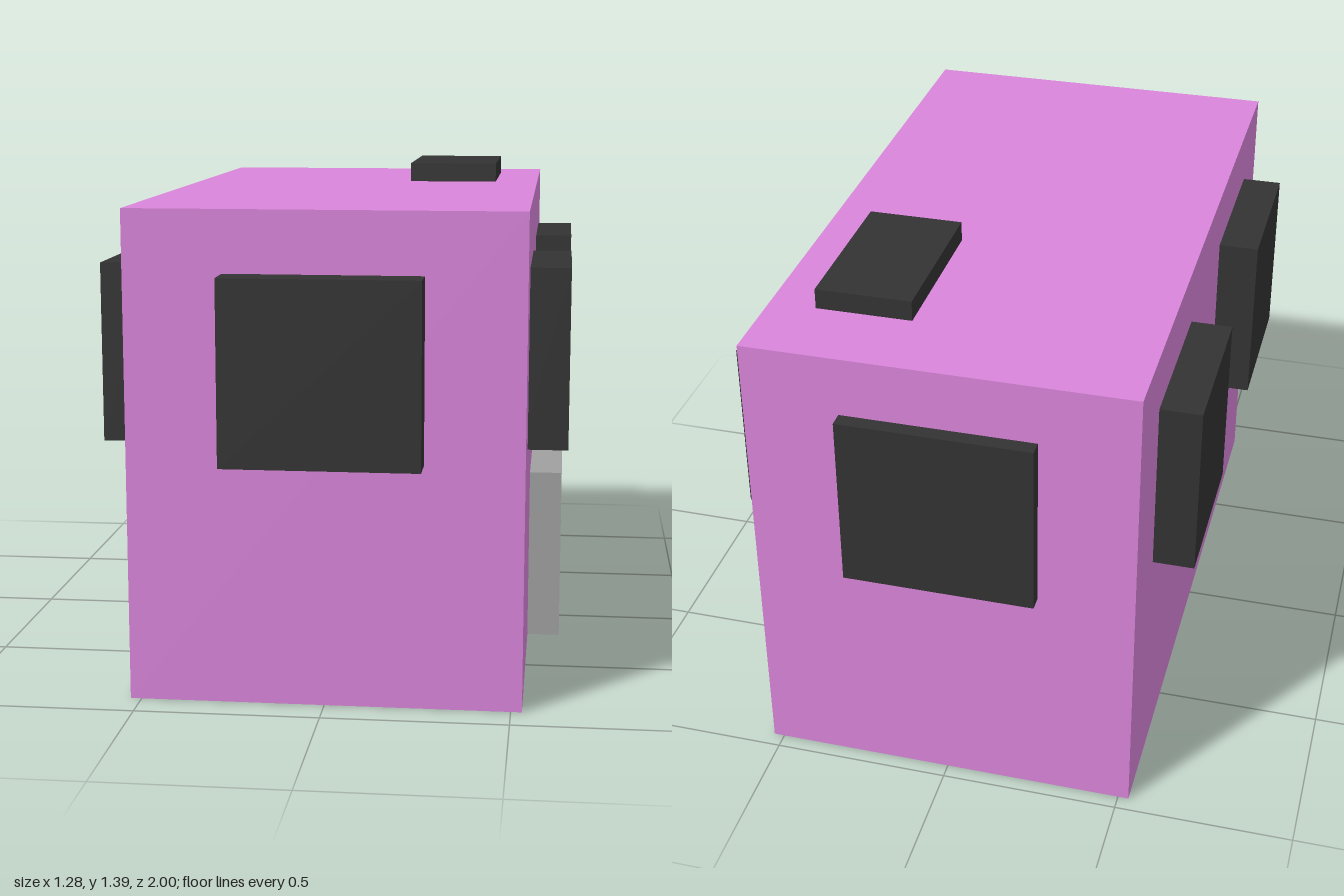
import * as THREE from 'three';

const pink = new THREE.MeshStandardMaterial({ color: 0xda85da });
const dark = new THREE.MeshStandardMaterial({ color: 0x333333 });
const grey = new THREE.MeshStandardMaterial({ color: 0xa0a0a0 });

// Box given by its extents along each axis
function block(name, material, [x0, x1], [y0, y1], [z0, z1]) {
  const mesh = new THREE.Mesh(new THREE.BoxGeometry(x1 - x0, y1 - y0, z1 - z0), material);
  mesh.position.set((x0 + x1) / 2, (y0 + y1) / 2, (z0 + z1) / 2);
  mesh.name = name;
  return mesh;
}

export function createModel() {
  const model = new THREE.Group();
  model.name = 'house';

  const wallX = 0.53, roofY = 1.33, frontZ = 0.9, backZ = -0.957;
  const sink = 0.02; // fittings are set slightly into the walls
  const windowY = [0.665, 1.162];
  const frontBay = [0.205, 0.667], doorBay = [-0.26, 0.205], backBay = [-0.725, -0.262];

  // Main block
  model.add(block('body', pink, [-wallX, wallX], [0, roofY], [backZ, frontZ]));

  // End windows
  model.add(block('frontWindow', dark, [-0.265, 0.265], windowY, [frontZ - sink, 1]));
  model.add(block('backWindow', dark, [-0.265, 0.265], windowY, [-1, backZ + sink]));

  // Two windows on each long side
  for (const [place, bay] of [['Front', frontBay], ['Back', backBay]]) {
    model.add(block('left' + place + 'Window', dark, [wallX - sink, 0.64], windowY, bay));
    model.add(block('right' + place + 'Window', dark, [-0.645, -wallX + sink], windowY, bay));
  }

  // Door on the left side and hatch on the roof
  model.add(block('door', grey, [wallX - sink, 0.624], [0, 0.5], doorBay));
  model.add(block('roofHatch', dark, [0.133, 0.4], [roofY - sink, 1.387], backBay));

  return model;
}
